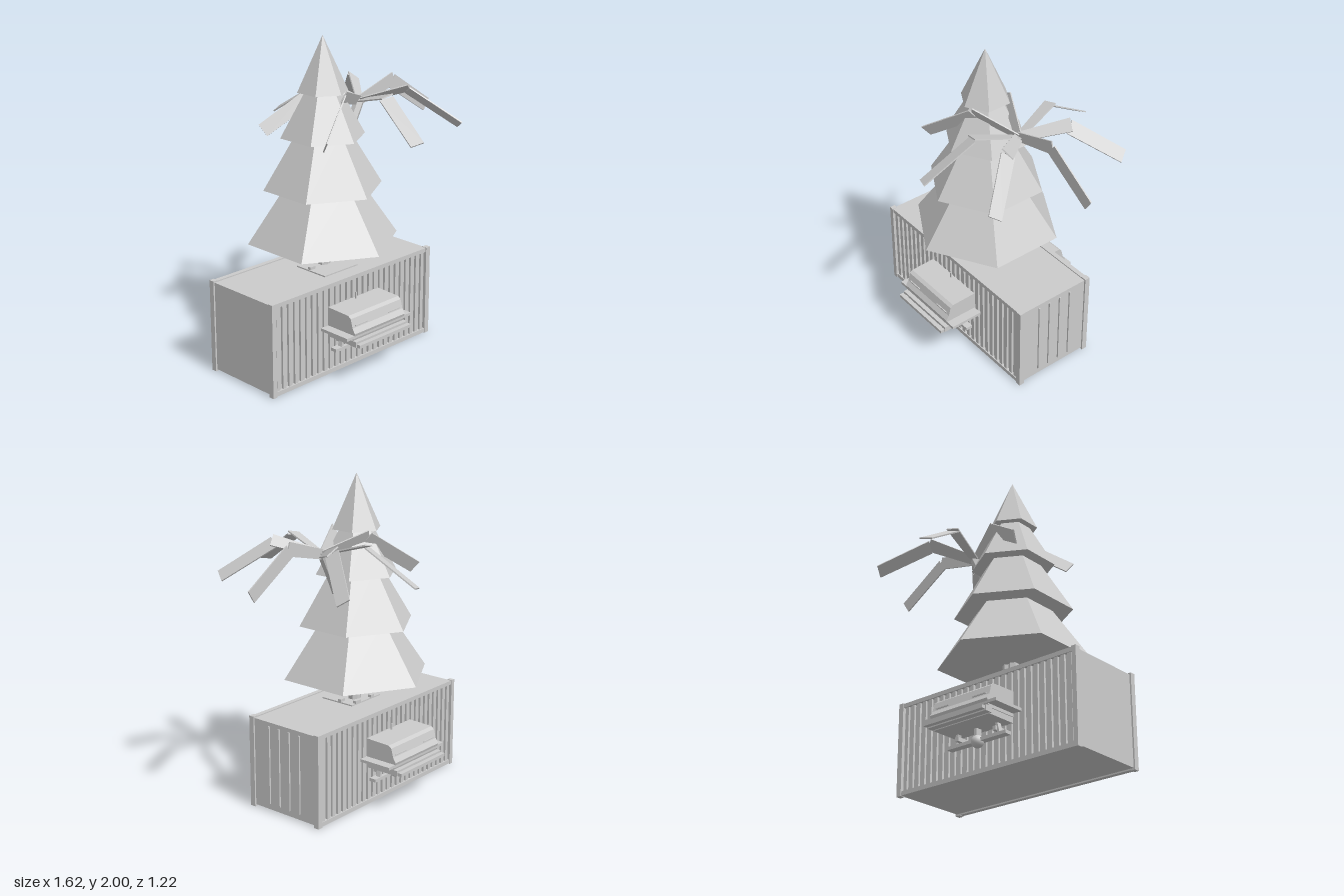
import * as THREE from 'three';

const mat = new THREE.MeshStandardMaterial({ color: 0xcccccc, flatShading: true });
const smooth = new THREE.MeshStandardMaterial({ color: 0xcccccc });

function add(parent, name, geometry, material = mat) {
  const mesh = new THREE.Mesh(geometry, material);
  mesh.name = name;
  parent.add(mesh);
  return mesh;
}

// Box given by its limits on each axis
function box(parent, name, x0, x1, y0, y1, z0, z1) {
  const mesh = add(parent, name, new THREE.BoxGeometry(x1 - x0, y1 - y0, z1 - z0));
  mesh.position.set((x0 + x1) / 2, (y0 + y1) / 2, (z0 + z1) / 2);
  return mesh;
}

function createContainer() {
  const g = new THREE.Group();
  g.name = 'container';
  box(g, 'containerBody', -0.8, 0.53, 0.012, 0.575, -0.25, 0.25);
  for (const s of [-1, 1]) {
    const side = (name, x0, x1, y0, y1, zi, zo) =>
      box(g, name, x0, x1, y0, y1, Math.min(s * zi, s * zo), Math.max(s * zi, s * zo));
    // Rails and corner posts
    side('bottomRail', -0.78, 0.51, 0.003, 0.03, 0.24, 0.27);
    side('topRail', -0.78, 0.51, 0.556, 0.582, 0.24, 0.27);
    side('cornerPost', -0.81, -0.78, 0, 0.585, 0.24, 0.275);
    side('cornerPost', 0.505, 0.54, 0, 0.585, 0.24, 0.275);
    // Corrugated wall
    const count = 27, pitch = 1.285 / count;
    for (let i = 0; i < count; i++) {
      const x = -0.78 + (i + 0.5) * pitch;
      side('wallRib', x - 0.013, x + 0.013, 0.03, 0.556, 0.249, 0.264);
    }
  }
  // Door bars on one end
  for (const z of [-0.12, -0.04, 0.04, 0.12]) box(g, 'doorBar', 0.529, 0.54, 0.05, 0.55, z - 0.005, z + 0.005);
  // Mounting plate and small fittings on the roof
  box(g, 'roofPlate', -0.28, 0, 0.574, 0.583, -0.08, 0.16);
  for (const [x, w, z] of [[-0.255, 0.04, 0.02], [-0.2, 0.03, -0.07], [-0.06, 0.05, -0.07], [-0.02, 0.04, 0.02]])
    box(g, 'roofFitting', x - w / 2, x + w / 2, 0.58, 0.6, z - 0.012, z + 0.012);
  return g;
}

function createPine() {
  const g = new THREE.Group();
  g.name = 'pineTree';
  g.position.x = -0.135;
  // Tiers: bottom height, top height, bottom radius, top radius
  const tiers = [
    [0.75, 1.12, 0.467, 0.215],
    [1.08, 1.44, 0.367, 0.15],
    [1.395, 1.7, 0.26, 0.09],
    [1.665, 2, 0.155, 0],
  ];
  for (const [y0, y1, r0, r1] of tiers)
    add(g, 'foliageTier', new THREE.CylinderGeometry(r1, r0, y1 - y0, 6)).position.y = (y0 + y1) / 2;
  add(g, 'pineTrunk', new THREE.CylinderGeometry(0.03, 0.036, 0.3, 6)).position.y = 0.71;
  return g;
}

// Flat tapered frond segment from a to b, rolled about its own length
function blade(parent, name, a, b, heading, roll, w0, w1) {
  const along = b.clone().sub(a);
  const length = along.length();
  along.normalize();
  const across = new THREE.Vector3(-Math.sin(heading), 0, Math.cos(heading));
  const normal = across.clone().cross(along);
  const width = across.multiplyScalar(Math.cos(roll)).addScaledVector(normal, Math.sin(roll));
  const geo = new THREE.BoxGeometry(length, 0.008, 1);
  const p = geo.attributes.position;
  for (let i = 0; i < p.count; i++) p.setZ(i, p.getZ(i) * (p.getX(i) < 0 ? w0 : w1));
  const basis = new THREE.Matrix4().makeBasis(along, width.clone().cross(along), width);
  geo.applyMatrix4(basis.setPosition(a.clone().add(b).multiplyScalar(0.5)));
  geo.computeVertexNormals();
  add(parent, name, geo);
}

function createPalm() {
  const g = new THREE.Group();
  g.name = 'palmTree';
  const path = new THREE.CatmullRomCurve3([
    [-0.115, 0.57], [-0.085, 0.78], [-0.035, 1.05], [0.045, 1.3], [0.175, 1.56],
  ].map(([x, y]) => new THREE.Vector3(x, y, 0)));
  add(g, 'palmTrunk', new THREE.TubeGeometry(path, 12, 0.032, 6));
  const count = 7;
  for (let i = 0; i < count; i++) {
    const a = (i / count) * Math.PI * 2;
    const at = (r, y) => new THREE.Vector3(0.175 + r * Math.cos(a), y, r * Math.sin(a));
    const roll = Math.PI / 2 - (a > Math.PI ? a - Math.PI * 2 : a);
    blade(g, 'innerFrond', at(0, 1.555), at(0.3, 1.64), a, roll, 0.06, 0.085);
    blade(g, 'outerFrond', at(0.29, 1.625), at(0.61, 1.42), a, roll, 0.09, 0.085);
  }
  return g;
}

// Grill-like unit hung on a wall; local x = 0 is its middle, +z points outward
function createWallUnit() {
  const g = new THREE.Group();
  g.name = 'wallUnit';
  const profile = new THREE.Shape([
    [0.26, 0.28], [0.47, 0.28], [0.485, 0.33], [0.465, 0.36], [0.45, 0.415], [0.43, 0.43], [0.26, 0.435],
  ].map(([z, y]) => new THREE.Vector2(z, y)));
  const hood = new THREE.ExtrudeGeometry(profile, { depth: 0.43, bevelEnabled: false });
  hood.translate(0, 0, -0.215).rotateY(-Math.PI / 2);
  add(g, 'hood', hood);
  box(g, 'sideShelf', -0.275, 0.275, 0.3, 0.318, 0.26, 0.48);
  box(g, 'frontTray', -0.22, 0.22, 0.25, 0.285, 0.45, 0.5);
  box(g, 'trayLip', -0.22, 0.22, 0.255, 0.275, 0.505, 0.533);
  box(g, 'underTray', -0.21, 0.21, 0.245, 0.28, 0.26, 0.46);
  box(g, 'pin', -0.004, 0.004, 0.43, 0.475, 0.28, 0.288);
  box(g, 'lowerRail', -0.22, 0.22, 0.165, 0.185, 0.29, 0.335);
  for (const s of [-1, 1]) {
    box(g, 'trayLink', s * 0.18 - 0.01, s * 0.18 + 0.01, 0.258, 0.272, 0.49, 0.515);
    box(g, 'hoodSlot', s * 0.14 - 0.05, s * 0.14 + 0.05, 0.368, 0.374, 0.45, 0.468);
    const leg = box(g, 'leg', s * 0.155 - 0.008, s * 0.155 + 0.008, 0.17, 0.26, 0.3, 0.33);
    leg.rotation.z = s * 0.25;
    box(g, 'wallBracket', s * 0.14 - 0.012, s * 0.14 + 0.012, 0.2, 0.225, 0.245, 0.34);
  }
  // Round weight under the rail
  const ball = add(g, 'ball', new THREE.SphereGeometry(0.038, 16, 12), smooth);
  ball.position.set(0, 0.17, 0.32);
  box(g, 'ballHanger', -0.01, 0.01, 0.19, 0.25, 0.3, 0.34);
  return g;
}

export function createModel() {
  const model = new THREE.Group();
  model.name = 'containerWithTrees';
  model.add(createContainer(), createPine(), createPalm());
  for (const turn of [0, Math.PI]) {
    const unit = createWallUnit();
    unit.position.x = -0.138;
    unit.rotation.y = turn;
    model.add(unit);
  }
  return model;
}
